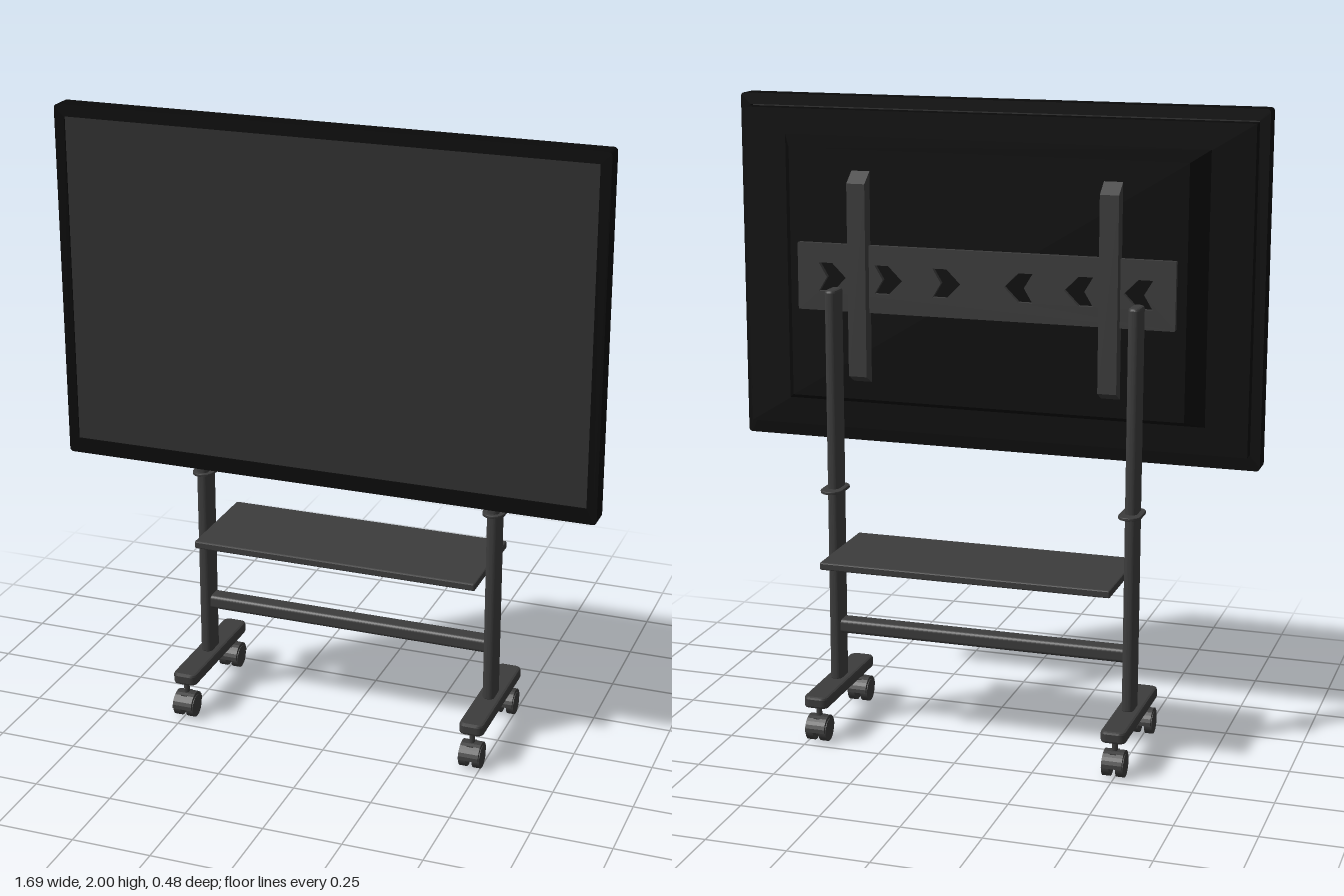
import * as THREE from 'three';

const frameMat = new THREE.MeshStandardMaterial({ color: 0x0a0a0a });
const glassMat = new THREE.MeshStandardMaterial({ color: 0x303030 });
const steelMat = new THREE.MeshStandardMaterial({ color: 0x3c3c3c });

function add(parent, name, geometry, material, x = 0, y = 0, z = 0) {
  const mesh = new THREE.Mesh(geometry, material);
  mesh.name = name;
  mesh.position.set(x, y, z);
  parent.add(mesh);
  return mesh;
}

// Rounded rectangle centred on the origin
function roundedRect(w, h, r) {
  const s = new THREE.Shape(), x = w / 2 - r, y = h / 2 - r;
  s.absarc(x, y, r, 0, Math.PI / 2);
  s.absarc(-x, y, r, Math.PI / 2, Math.PI);
  s.absarc(-x, -y, r, Math.PI, Math.PI * 1.5);
  s.absarc(x, -y, r, Math.PI * 1.5, Math.PI * 2);
  s.closePath();
  return s;
}

// Extrusion with an optional edge bevel that stays inside the given size
function prism(shape, depth, bevel = 0) {
  const g = new THREE.ExtrudeGeometry(shape, {
    depth: depth - 2 * bevel, curveSegments: 6, bevelEnabled: bevel > 0,
    bevelThickness: bevel, bevelSize: bevel, bevelOffset: -bevel, bevelSegments: 2,
  });
  return g.translate(0, 0, bevel);
}

// Upright prism: plan size w (x) by d (z), rising from y = 0
const upright = (w, d, r, height, bevel) =>
  prism(roundedRect(w, d, r), height, bevel).rotateX(-Math.PI / 2);

function makeDisplay() {
  const display = new THREE.Group();
  display.name = 'display';

  // Bezel with an opening that is a little lower at the bottom edge
  const rim = roundedRect(1.694, 1.105, 0.012);
  const hole = new THREE.Path();
  hole.moveTo(-0.815, -0.505).lineTo(-0.815, 0.517).lineTo(0.815, 0.517).lineTo(0.815, -0.505).closePath();
  rim.holes.push(hole);
  add(display, 'bezel', prism(rim, 0.064), frameMat, 0, 1.4475, 0.174);
  add(display, 'screen', new THREE.BoxGeometry(1.63, 1.022, 0.04), glassMat, 0, 1.4535, 0.213);

  // Stepped rear housing
  add(display, 'rearHousing', new THREE.BoxGeometry(1.63, 1.015, 0.05), frameMat, 0, 1.4525, 0.157);

  // Tapered back: the rear corners of a box are pulled inwards
  const taper = new THREE.BoxGeometry(1.366, 0.85, 0.088);
  const p = taper.attributes.position;
  for (let i = 0; i < p.count; i++) {
    if (p.getZ(i) < 0) p.setXY(i, p.getX(i) * 0.93, p.getY(i) * 0.925);
  }
  taper.computeVertexNormals();
  add(display, 'taperedBack', taper, frameMat, 0, 1.455, 0.091);
  return display;
}

function makeMount() {
  const mount = new THREE.Group();
  mount.name = 'wallMount';

  // Cross plate with chevron cut-outs pointing at the middle
  const plate = roundedRect(1.21, 0.212, 0.004);
  for (const side of [-1, 1]) {
    for (const cx of [0.115, 0.305, 0.49]) {
      const pts = [[-0.045, 0], [0, 0.045], [0.045, 0.045], [0.018, 0], [0.045, -0.045], [0, -0.045]];
      plate.holes.push(new THREE.Path(pts.map(([x, y]) => new THREE.Vector2(side * (cx + x), y))));
    }
  }
  add(mount, 'crossPlate', prism(plate, 0.016), steelMat, 0, 1.45, 0.031);

  // Vertical brackets with sloped ends
  const profile = new THREE.Shape();
  profile.moveTo(-0.048, 1.12).lineTo(0, 1.145).lineTo(0, 1.75).lineTo(-0.048, 1.785).closePath();
  for (const x of [-0.405, 0.398]) {
    const g = prism(profile, 0.059).rotateY(Math.PI / 2).translate(-0.0295, 0, 0);
    add(mount, 'verticalBracket', g, steelMat, x);
  }
  return mount;
}

function makeCaster() {
  const caster = new THREE.Group();
  caster.name = 'caster';
  add(caster, 'stem', new THREE.CylinderGeometry(0.009, 0.009, 0.055, 12), steelMat, 0, 0.0925, 0);

  // Hood: half disc over the wheels
  const hood = new THREE.Shape();
  hood.absarc(0, 0, 0.046, 0, Math.PI);
  hood.absarc(0, 0, 0.035, Math.PI, 0, true);
  hood.closePath();
  add(caster, 'hood', prism(hood, 0.064).rotateY(Math.PI / 2).translate(-0.032, 0, 0), steelMat, 0, 0.038, 0);
  add(caster, 'axle', new THREE.CylinderGeometry(0.01, 0.01, 0.05, 12).rotateZ(Math.PI / 2), steelMat, 0, 0.036, 0);
  add(caster, 'webBlock', new THREE.BoxGeometry(0.02, 0.045, 0.05), steelMat, 0, 0.056, 0);
  for (const x of [-0.022, 0.022]) {
    const wheel = new THREE.CylinderGeometry(0.036, 0.036, 0.024, 24).rotateZ(Math.PI / 2);
    add(caster, 'wheel', wheel, steelMat, x, 0.036, 0);
  }
  return caster;
}

function makeLeg() {
  const leg = new THREE.Group();
  leg.name = 'leg';
  add(leg, 'post', upright(0.038, 0.08, 0.017, 1.275, 0.008), steelMat, 0, 0.148, -0.013);
  add(leg, 'collar', upright(0.07, 0.128, 0.034, 0.01, 0.002), steelMat, 0, 0.778, -0.025);
  add(leg, 'foot', upright(0.08, 0.439, 0.022, 0.038, 0.008), steelMat, 0, 0.116, -0.0135);
  for (const z of [0.18, -0.193]) {
    const caster = makeCaster();
    caster.position.z = z;
    leg.add(caster);
  }
  return leg;
}

export function createModel() {
  const model = new THREE.Group();
  model.name = 'mobileDisplayStand';
  model.add(makeDisplay(), makeMount());

  // Rolling stand
  const stand = new THREE.Group();
  stand.name = 'stand';
  stand.position.x = -0.0135;
  for (const side of [-1, 1]) {
    const leg = makeLeg();
    leg.position.x = side * 0.483;
    stand.add(leg);
  }
  add(stand, 'shelf', upright(0.93, 0.347, 0.006, 0.024, 0.004), steelMat, 0, 0.572, -0.042);

  // Lower rail with chamfered long edges
  const rail = prism(roundedRect(0.06, 0.045, 0.012), 0.935).rotateY(Math.PI / 2).translate(-0.4675, 0, 0);
  add(stand, 'lowerRail', rail, steelMat, 0, 0.33, -0.013);
  model.add(stand);
  return model;
}
